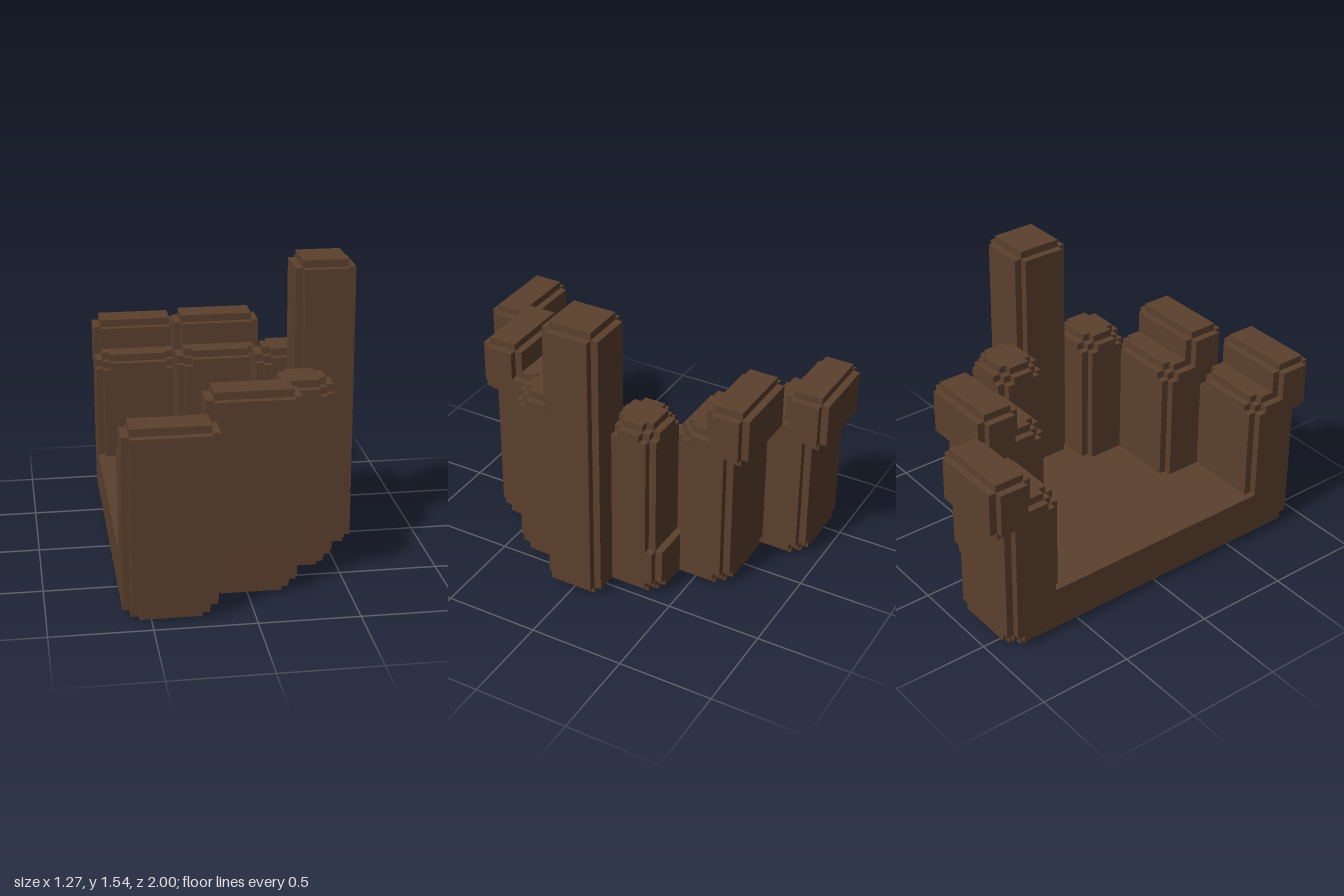
import * as THREE from 'three';
import { mergeGeometries } from 'three/addons/utils/BufferGeometryUtils.js';

const UNIT = 2 / 52; // size of one grid step
const MID_X = 16.5;  // grid centre in x

// Corner staircases in grid steps, given as [along x, along z] inset from the corner
const MID = [[0, 1], [1, 1], [1, 0]];
const CRISP = [[1, 1]];
const SOFT_END = [[1, 2], [2, 2], [2, 1]];
const SOFT_NEXT = [[0, 2], [1, 2], [1, 1], [2, 1], [2, 0]];
const ENDS = { flat: [], crisp: [CRISP], soft: [SOFT_END, SOFT_NEXT] };

// One horizontal layer with the same stepped corner at all four corners
function layer(x0, x1, z0, z1, y0, y1, corner) {
  const back = [...corner].reverse();
  const pts = [
    ...corner.map(([a, b]) => [x0 + a, -z1 + b]),
    ...back.map(([a, b]) => [x1 - a, -z1 + b]),
    ...corner.map(([a, b]) => [x1 - a, -z0 - b]),
    ...back.map(([a, b]) => [x0 + a, -z0 - b]),
  ];
  const shape = new THREE.Shape(pts.map(([x, y]) => new THREE.Vector2(x, y)));
  const geo = new THREE.ExtrudeGeometry(shape, { depth: y1 - y0, bevelEnabled: false });
  return geo.rotateX(-Math.PI / 2).translate(-MID_X, y0, 0).scale(UNIT, UNIT, UNIT);
}

// Block with stepped edges; bottom and top may be flat, crisp or soft
function block([x0, x1], [y0, y1], [z0, z1], bottom, top) {
  const lo = ENDS[bottom], hi = ENDS[top];
  const parts = [layer(x0, x1, z0, z1, y0 + lo.length, y1 - hi.length, MID)];
  lo.forEach((c, i) => parts.push(layer(x0, x1, z0, z1, y0 + i, y0 + i + 1, c)));
  hi.forEach((c, i) => parts.push(layer(x0, x1, z0, z1, y1 - i - 1, y1 - i, c)));
  return mergeGeometries(parts);
}

export function createModel() {
  const group = new THREE.Group();
  const brown = new THREE.MeshStandardMaterial({ color: 0x5c402d });
  brown.name = 'brown';
  const add = (name, ...args) => {
    const mesh = new THREE.Mesh(block(...args), brown);
    mesh.name = name;
    group.add(mesh);
  };
  const side = (s, a, b) => (s > 0 ? [a, b] : [-b, -a]);

  // Floor, narrowing in steps towards the post
  add('wideFloor', [0, 12], [0, 7], [-24, 24], 'soft', 'flat');
  add('middleFloor', [11, 23], [0, 7], [-18, 18], 'soft', 'flat');
  add('narrowFloor', [21, 29], [0, 7], [-11, 11], 'soft', 'flat');

  // Walls and their overhanging rails on both sides
  for (const s of [1, -1]) {
    const label = s > 0 ? 'front' : 'back';
    add(label + 'OuterWall', [0, 12], [5, 22], side(s, 16, 24), 'flat', 'soft');
    add(label + 'OuterRail', [0, 12], [18, 26], side(s, 20, 26), 'crisp', 'crisp');
    add(label + 'MiddleWall', [11, 23], [5, 24], side(s, 10, 18), 'flat', 'soft');
    add(label + 'MiddleRail', [11, 23], [20, 28], side(s, 14, 20), 'crisp', 'crisp');
  }

  // Corner walls beside the post
  add('frontCornerWall', [21, 29], [5, 26], [4, 11], 'flat', 'soft');
  add('backCornerWall', [21, 29], [5, 26], [-10, -3], 'flat', 'soft');

  // Tall post at the end
  add('post', [25, 33], [0, 40], [-4, 4], 'crisp', 'crisp');

  return group;
}
